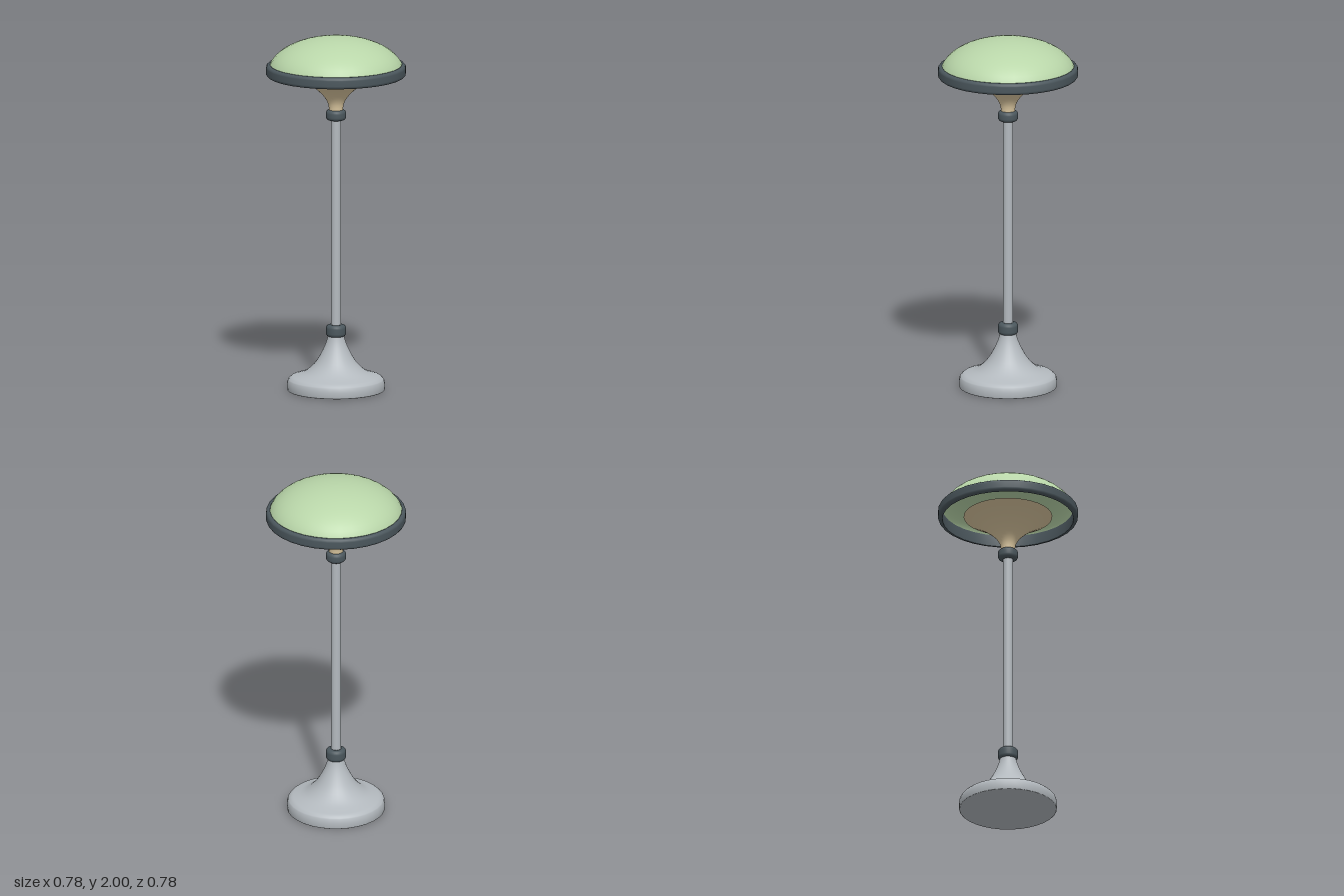
import * as THREE from 'three';

const SEGMENTS = 32;

const material = (name, color, side = THREE.FrontSide) => {
  const m = new THREE.MeshStandardMaterial({ color, side });
  m.name = name;
  return m;
};

export function createModel() {
  const green = material('pale green shade', 0xb9d6a9, THREE.DoubleSide);
  const dark = material('dark slate trim', 0x4b575d);
  const metal = material('light grey metal', 0xb4babf);
  const cream = material('cream funnel', 0xdcc8a0, THREE.DoubleSide);

  const model = new THREE.Group();
  model.name = 'lamp';

  // Turned part from [radius, height] points, listed bottom to top on the outside
  const turn = (name, points, mat, segments = SEGMENTS) => {
    const profile = points.map(([r, y]) => new THREE.Vector2(r, y));
    const mesh = new THREE.Mesh(new THREE.LatheGeometry(profile, segments), mat);
    mesh.name = name;
    model.add(mesh);
  };

  // Closed ring with rounded corners
  const ring = (name, inner, outer, y0, y1, bevel, mat) => {
    const points = [[inner, y0]];
    for (let i = 0; i <= 4; i++) {
      const a = (i / 4 - 1) * Math.PI / 2;
      points.push([outer - bevel + bevel * Math.cos(a), y0 + bevel + bevel * Math.sin(a)]);
    }
    for (let i = 0; i <= 4; i++) {
      const a = i / 4 * Math.PI / 2;
      points.push([outer - bevel + bevel * Math.cos(a), y1 - bevel + bevel * Math.sin(a)]);
    }
    points.push([inner, y1], [inner, y0]);
    turn(name, points, mat);
  };

  // Smooth curve through a few profile points
  const smooth = (points, count) => new THREE.SplineCurve(
    points.map(([r, y]) => new THREE.Vector2(r, y))
  ).getPoints(count).map((p) => [p.x, p.y]);

  // Flared foot with a flat underside
  turn('base', [
    [0, 0], [0.268, 0], [0.272, 0.003], [0.274, 0.035],
    ...smooth([[0.268, 0.058], [0.25, 0.075], [0.22, 0.085], [0.17, 0.105],
      [0.12, 0.15], [0.082, 0.21], [0.055, 0.27], [0.042, 0.32]], 20),
  ], metal);

  // Stem and its two collars
  const pole = new THREE.Mesh(new THREE.CylinderGeometry(0.028, 0.028, 1.24, 16), metal);
  pole.name = 'pole';
  pole.position.y = 0.94;
  model.add(pole);
  ring('lowerCollar', 0.02, 0.056, 0.302, 0.37, 0.02, dark);
  ring('upperCollar', 0.02, 0.056, 1.53, 1.59, 0.02, dark);

  // Funnel under the shade
  turn('funnel', smooth([[0.038, 1.57], [0.043, 1.62], [0.065, 1.662],
    [0.105, 1.703], [0.16, 1.745], [0.215, 1.778], [0.247, 1.795]], 18), cream);

  // Open dome shade
  const dome = [];
  for (let i = 0; i <= 16; i++) {
    const a = i / 16 * Math.PI / 2;
    dome.push([0.378 * Math.cos(a), 1.8 + 0.2 * Math.sin(a)]);
  }
  turn('shade', dome, green);

  // Rounded band around the shade's edge
  ring('shadeRim', 0.365, 0.39, 1.78, 1.846, 0.018, dark);

  return model;
}
